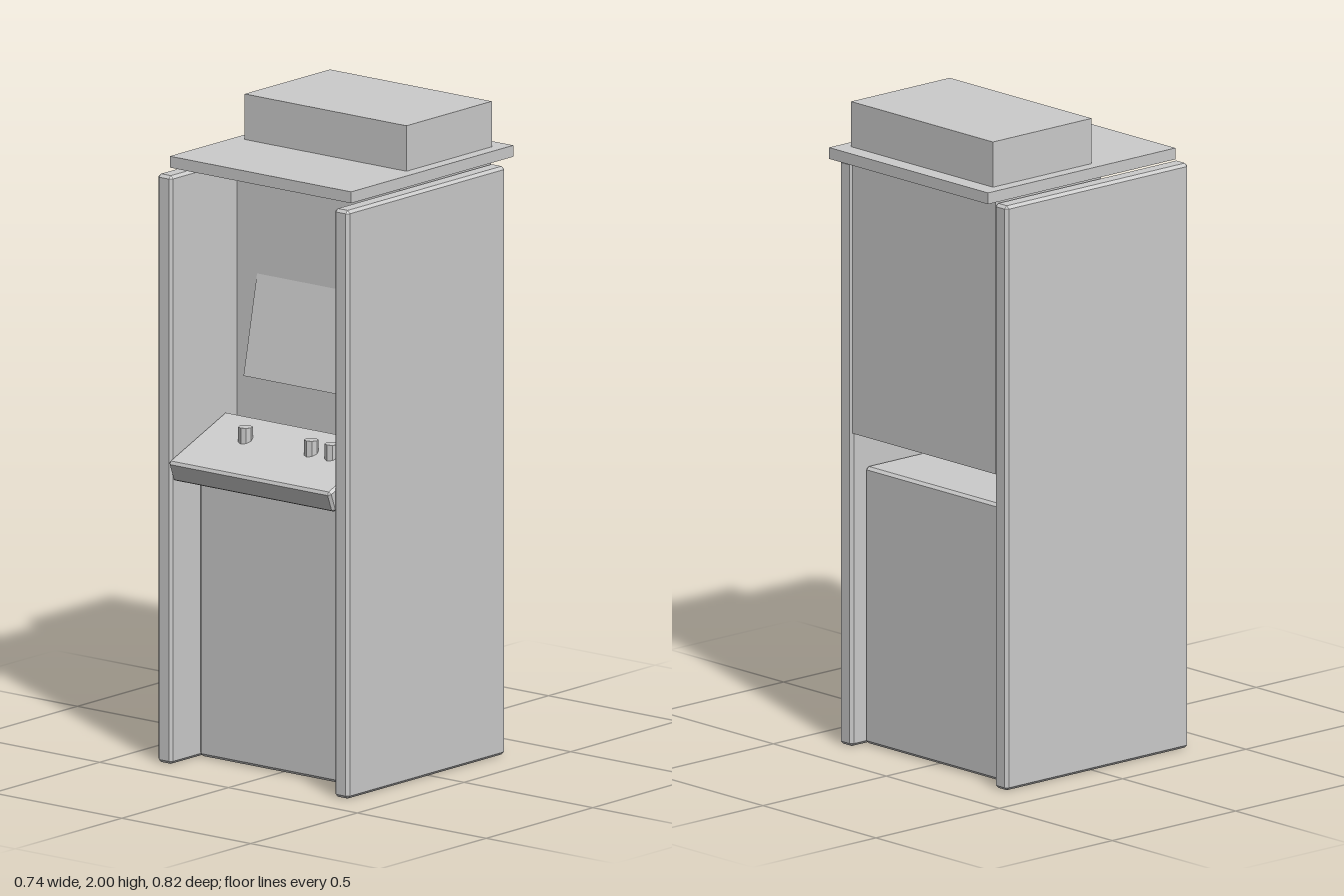
import * as THREE from 'three';
import { ConvexGeometry } from 'three/addons/geometries/ConvexGeometry.js';

const grey = new THREE.MeshStandardMaterial({ color: 0xcccccc });
grey.name = 'plain grey';

// Box with single flat chamfers on every edge
function chamferBox(w, h, d, c) {
  const pts = [];
  for (const x of [-1, 1]) for (const y of [-1, 1]) for (const z of [-1, 1]) {
    const X = x * w / 2, Y = y * h / 2, Z = z * d / 2;
    pts.push(
      new THREE.Vector3(X, Y - y * c, Z - z * c),
      new THREE.Vector3(X - x * c, Y, Z - z * c),
      new THREE.Vector3(X - x * c, Y - y * c, Z));
  }
  return new ConvexGeometry(pts);
}

export function createModel() {
  const group = new THREE.Group();
  group.name = 'arcadeCabinet';

  const add = (name, geometry, x, y, z, tilt = 0) => {
    const mesh = new THREE.Mesh(geometry, grey);
    mesh.name = name;
    mesh.position.set(x, y, z);
    mesh.rotation.x = tilt;
    group.add(mesh);
    return mesh;
  };

  // Box given by its extents, chamfered when c > 0
  const block = (name, [x0, x1], [y0, y1], [z0, z1], c = 0) => {
    const w = x1 - x0, h = y1 - y0, d = z1 - z0;
    const geometry = c ? chamferBox(w, h, d, c) : new THREE.BoxGeometry(w, h, d);
    return add(name, geometry, (x0 + x1) / 2, (y0 + y1) / 2, (z0 + z1) / 2);
  };

  // Side panels
  block('leftSidePanel', [0.315, 0.371], [0, 1.81], [-0.352, 0.388], 0.009);
  block('rightSidePanel', [-0.371, -0.315], [0, 1.81], [-0.352, 0.388], 0.009);

  // Cabinet body, with an open slot between lower and upper halves
  block('lowerBody', [-0.314, 0.314], [0.003, 0.86], [-0.3, 0.26], 0.009);
  block('upperBody', [-0.317, 0.317], [0.97, 1.68], [-0.347, 0.08]);
  block('marquee', [-0.317, 0.317], [1.68, 1.825], [-0.347, 0.08]);

  // Roof slab and the box on top
  block('roof', [-0.352, 0.352], [1.825, 1.86], [-0.41, 0.35]);
  block('topBox', [-0.314, 0.314], [1.86, 2], [-0.355, 0.045]);

  // Screen leaning back, its top sinking into the body
  const lean = 0.205, depth = 0.07;
  const screen = new THREE.BoxGeometry(0.474, 0.335, depth);
  screen.translate(0, 0, -depth / 2);
  add('screen', screen, 0, 1.327, 0.109, -lean);

  // Sloping control panel, pivoted on its upper front edge
  const slope = 0.37;
  const panel = chamferBox(0.628, 0.07, 0.292, 0.008);
  panel.translate(0, -0.035, -0.146);
  add('controlPanel', panel, 0, 0.936, 0.408, slope);

  // Upright buttons
  const button = new THREE.CylinderGeometry(0.022, 0.022, 0.055, 8).toNonIndexed();
  button.computeVertexNormals();
  [-0.145, 0.11, 0.19].forEach((x, i) => add(`button${i + 1}`, button, x, 1.0125, 0.245));

  return group;
}
